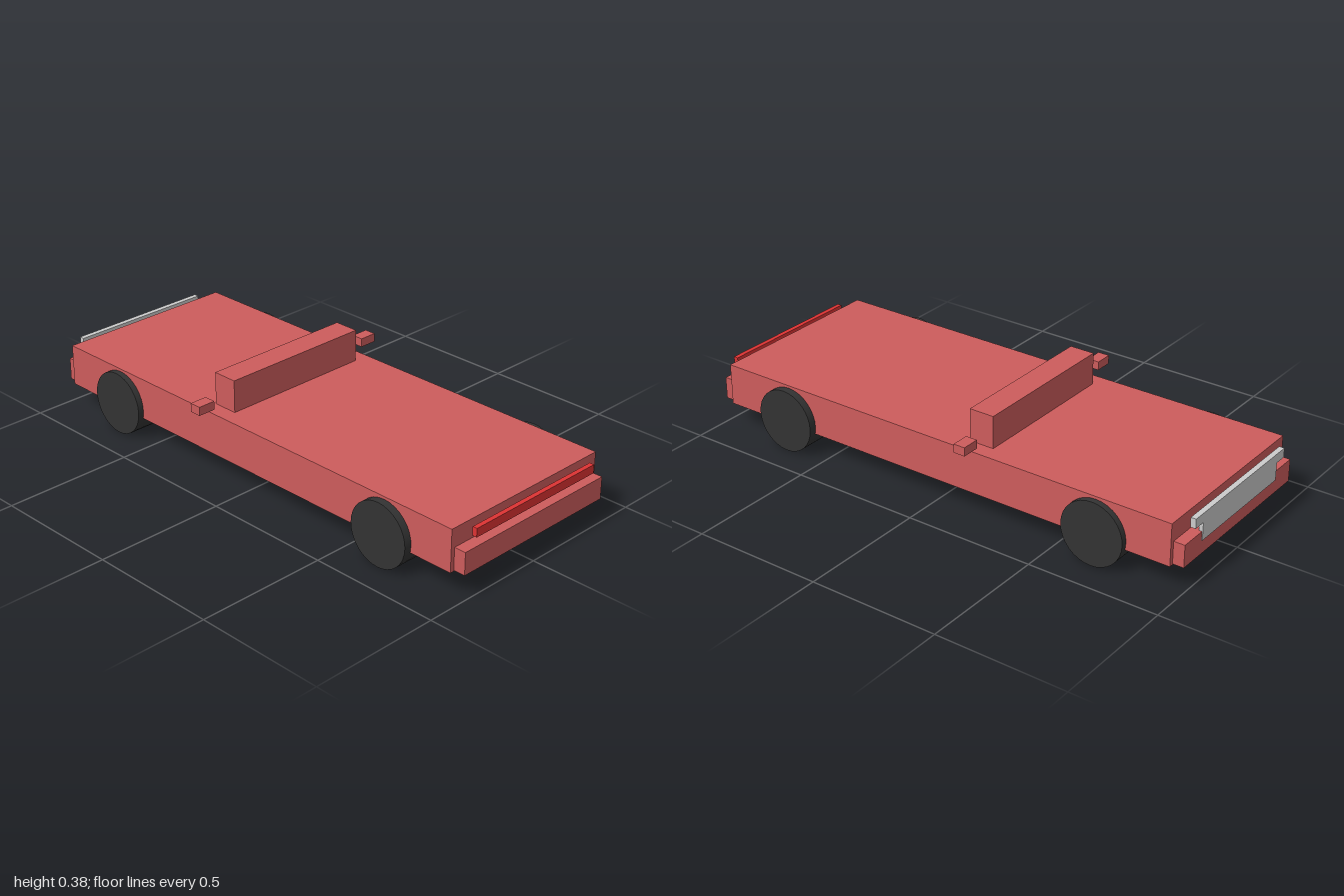
import * as THREE from 'three';

export function createModel() {
  const car = new THREE.Group();
  car.name = 'car';
  const mat = (color) => new THREE.MeshStandardMaterial({ color });
  const paint = mat(0xcd5c5c);
  const lamp = mat(0xdd3333);
  const rubber = mat(0x333333);
  const chrome = mat(0xcccccc);

  // Box given by its min and max corners
  function box(name, material, [x0, y0, z0], [x1, y1, z1]) {
    const mesh = new THREE.Mesh(new THREE.BoxGeometry(x1 - x0, y1 - y0, z1 - z0), material);
    mesh.position.set((x0 + x1) / 2, (y0 + y1) / 2, (z0 + z1) / 2);
    mesh.name = name;
    car.add(mesh);
  }

  // Slab body and low cabin
  box('body', paint, [-0.363, 0.092, -0.955], [0.363, 0.252, 0.955]);
  box('cabin', paint, [-0.303, 0.25, -0.21], [0.303, 0.375, -0.112]);

  // Bumpers at both ends
  box('frontBumper', paint, [-0.347, 0.095, 0.95], [0.347, 0.18, 1]);
  box('rearBumper', paint, [-0.347, 0.095, -0.997], [0.347, 0.18, -0.95]);

  // Red light strip
  box('lightStrip', lamp, [-0.296, 0.213, 0.982], [0.296, 0.246, 1]);

  // Grey bar with a narrower grille panel below it
  box('lightBar', chrome, [-0.29, 0.214, -1], [0.29, 0.25, -0.98]);
  box('grille', chrome, [-0.242, 0.147, -1], [0.242, 0.214, -0.985]);

  // Side mirrors
  box('leftMirror', paint, [0.368, 0.275, -0.19], [0.437, 0.308, -0.145]);
  box('rightMirror', paint, [-0.437, 0.275, -0.19], [-0.368, 0.308, -0.145]);

  // Wheels: the front pair stands slightly wider
  const radius = 0.121;
  const wheelGeometry = new THREE.CylinderGeometry(radius, radius, 0.104, 32).rotateZ(Math.PI / 2);
  for (const [end, z, x] of [['front', 0.665, 0.34], ['rear', -0.667, 0.334]]) {
    for (const [side, sign] of [['Left', 1], ['Right', -1]]) {
      const wheel = new THREE.Mesh(wheelGeometry, rubber);
      wheel.position.set(sign * x, radius, z);
      wheel.name = `${end}${side}Wheel`;
      car.add(wheel);
    }
  }
  return car;
}
